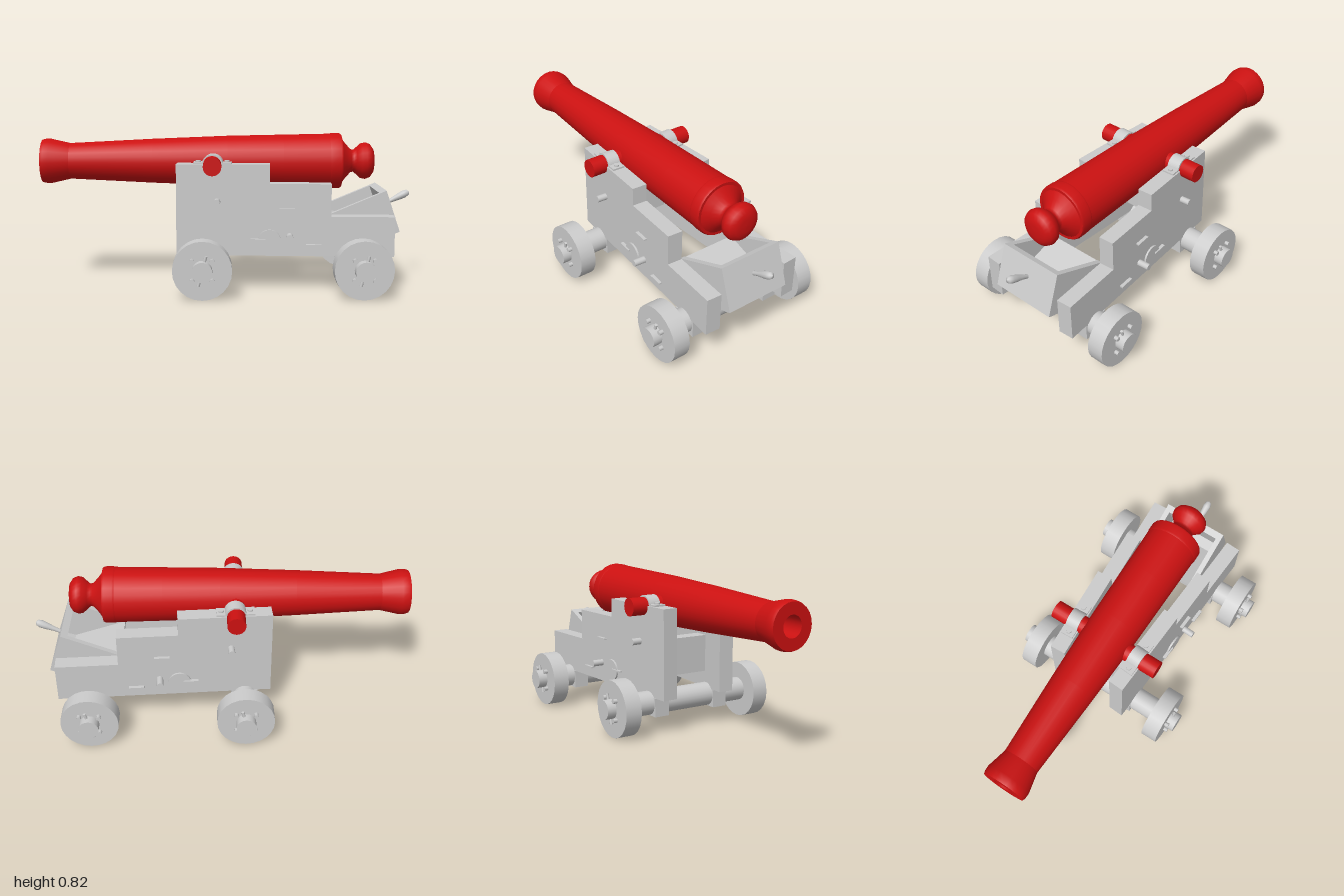
import * as THREE from 'three';

const grey = new THREE.MeshStandardMaterial({ color: 0xcccccc });
const greyThin = new THREE.MeshStandardMaterial({ color: 0xcccccc, side: THREE.DoubleSide });
const red = new THREE.MeshStandardMaterial({ color: 0xcc1111, side: THREE.DoubleSide });

function add(parent, name, geometry, material, x = 0, y = 0, z = 0) {
  const mesh = new THREE.Mesh(geometry, material);
  mesh.name = name;
  mesh.position.set(x, y, z);
  parent.add(mesh);
  return mesh;
}

const box = (w, h, d) => new THREE.BoxGeometry(w, h, d);
// Cylinder lying along z
const rod = (r, length, sides = 20) =>
  new THREE.CylinderGeometry(r, r, length, sides).rotateX(Math.PI / 2);

// Side outline (x, y) extruded along z, centred on z = 0
function slab(points, depth) {
  const shape = new THREE.Shape(points.map(([x, y]) => new THREE.Vector2(x, y)));
  return new THREE.ExtrudeGeometry(shape, { depth, bevelEnabled: false }).translate(0, 0, -depth / 2);
}

// Profile runs of [x, radius] turned around the x axis; each run stays smooth, edges between runs sharp
function turned(parent, name, runs, material, sides) {
  const group = new THREE.Group();
  group.name = name;
  for (const run of runs) {
    const geo = new THREE.LatheGeometry(run.map(([x, r]) => new THREE.Vector2(r, x)), sides);
    add(group, name + 'Section', geo.rotateZ(-Math.PI / 2), material);
  }
  parent.add(group);
  return group;
}

function buildBarrel(parent) {
  const barrel = turned(parent, 'barrel', [
    [[-0.6, 0], [-0.6, 0.055]],
    [[-0.6, 0.055], [-1, 0.055]],
    [[-1, 0.055], [-1, 0.115]],
    [[-1, 0.115], [-0.985, 0.12], [-0.955, 0.121], [-0.85, 0.097]],
    [[-0.85, 0.097], [-0.4, 0.12], [0, 0.136], [0.3, 0.142], [0.55, 0.147]],
    [[0.55, 0.147], [0.56, 0.15], [0.605, 0.15], [0.615, 0.145]],
    [[0.615, 0.145], [0.615, 0.13]],
    [[0.615, 0.13], [0.64, 0.095], [0.67, 0.063], [0.685, 0.06], [0.7, 0.072], [0.725, 0.095],
      [0.75, 0.1], [0.775, 0.09], [0.792, 0.065], [0.797, 0.035], [0.798, 0]],
  ], red, 24);
  barrel.position.y = 0.667;
  add(parent, 'trunnions', rod(0.048, 0.625), red, -0.08, 0.665, 0);
}

// One splayed cheek with its fittings; z = 0 is the outer face, s is the side
function buildCheek(parent, s) {
  const cheek = new THREE.Group();
  cheek.name = s > 0 ? 'leftCheek' : 'rightCheek';
  cheek.position.z = s * 0.2355;
  cheek.rotation.y = -s * 0.057;
  parent.add(cheek);
  const thick = 0.083;
  add(cheek, 'steppedPlank', slab([[-0.27, 0.19], [0.87, 0.19], [0.87, 0.4], [0.54, 0.4],
    [0.54, 0.57], [0.22, 0.57], [0.22, 0.67], [-0.27, 0.67]], thick), grey, 0, 0, -s * thick / 2);

  // Cap over the trunnion
  const arch = new THREE.Shape();
  arch.absarc(0, 0, 0.056, 0, Math.PI, false);
  arch.absarc(0, 0, 0.046, Math.PI, 0, true);
  const archGeo = new THREE.ExtrudeGeometry(arch, { depth: 0.068, bevelEnabled: false, curveSegments: 12 });
  add(cheek, 'trunnionCap', archGeo.translate(0, 0, -0.034), grey, -0.08, 0.665, -s * 0.042);
  for (const dx of [-0.075, 0.075]) {
    add(cheek, 'capFlange', box(0.05, 0.01, 0.068), grey, -0.08 + dx, 0.674, -s * 0.042);
    add(cheek, 'capBolt', new THREE.CylinderGeometry(0.014, 0.014, 0.01, 12), grey, -0.08 + dx, 0.683, -s * 0.042);
  }

  // Through bolts, ring plate and staples
  add(cheek, 'upperBolt', rod(0.018, 0.07, 12), grey, -0.055, 0.475, s * 0.018);
  add(cheek, 'lowerBolt', rod(0.018, 0.08, 12), grey, 0.325, 0.295, s * 0.024);
  add(cheek, 'ringPlate', rod(0.06, 0.02), grey, 0.22, 0.27, 0);
  for (const [x, y] of [[0.16, 0.277], [0.31, 0.437], [0.45, 0.25]])
    add(cheek, 'staple', box(0.08, 0.008, 0.024), grey, x, y, s * 0.006);
}

function buildAxle(parent, name, x) {
  const axle = new THREE.Group();
  axle.name = name;
  axle.position.set(x, 0.155, 0);
  parent.add(axle);
  add(axle, 'axleBeam', rod(0.064, 0.74, 24), grey);
  add(axle, 'axleStubs', rod(0.052, 1, 20), grey);
  const blockZ = 0.194 + x * 0.057;
  for (const s of [-1, 1]) {
    add(axle, 'axleBlock', box(0.14, 0.1, 0.085), grey, 0, -0.015, s * blockZ);
    add(axle, 'wheel', rod(0.152, 0.09, 24), grey, 0, 0, s * 0.405).position.y = -0.003;
    for (let i = 0; i < 4; i++) {
      const a = Math.PI / 4 + i * Math.PI / 2;
      add(axle, 'wheelBolt', rod(0.012, 0.03, 8), grey, 0.072 * Math.cos(a), 0.072 * Math.sin(a), s * 0.457);
    }
    const pin = add(axle, 'linchpin', new THREE.CylinderGeometry(0.008, 0.008, 0.16, 8), grey, 0, 0, s * 0.464);
    pin.rotation.z = -0.25;
  }
}

// Tilted wedge-shaped tray under the breech, with a turned handle
function buildTray(parent) {
  const tray = new THREE.Group();
  tray.name = 'breechTray';
  parent.add(tray);
  for (const s of [-1, 1])
    add(tray, 'traySide', slab([[0.53, 0.395], [0.84, 0.525], [0.915, 0.305], [0.815, 0.27], [0.53, 0.365]], 0.028),
      grey, 0, 0, s * 0.167);
  add(tray, 'trayEnd', slab([[0.805, 0.51], [0.84, 0.525], [0.915, 0.305], [0.88, 0.29]], 0.361), grey);
  add(tray, 'trayFloor', slab([[0.53, 0.365], [0.53, 0.39], [0.815, 0.3], [0.895, 0.325], [0.91, 0.305],
    [0.815, 0.27]], 0.33), greyThin);

  const handle = turned(tray, 'handle', [
    [[0, 0.011], [0.04, 0.012], [0.08, 0.018], [0.115, 0.021], [0.138, 0.016], [0.147, 0]],
  ], greyThin, 12);
  handle.position.set(0.865, 0.432, 0);
  handle.rotation.z = 0.46;
}

export function createModel() {
  const model = new THREE.Group();
  model.name = 'cannon';
  buildBarrel(model);
  const carriage = new THREE.Group();
  carriage.name = 'carriage';
  model.add(carriage);
  for (const s of [-1, 1]) buildCheek(carriage, s);
  buildAxle(carriage, 'frontAxle', -0.13);
  buildAxle(carriage, 'rearAxle', 0.69);
  buildTray(carriage);
  // Cross beam joining the cheeks
  add(carriage, 'transom', box(0.08, 0.2, 0.3), grey, -0.08, 0.38, 0);
  return model;
}
